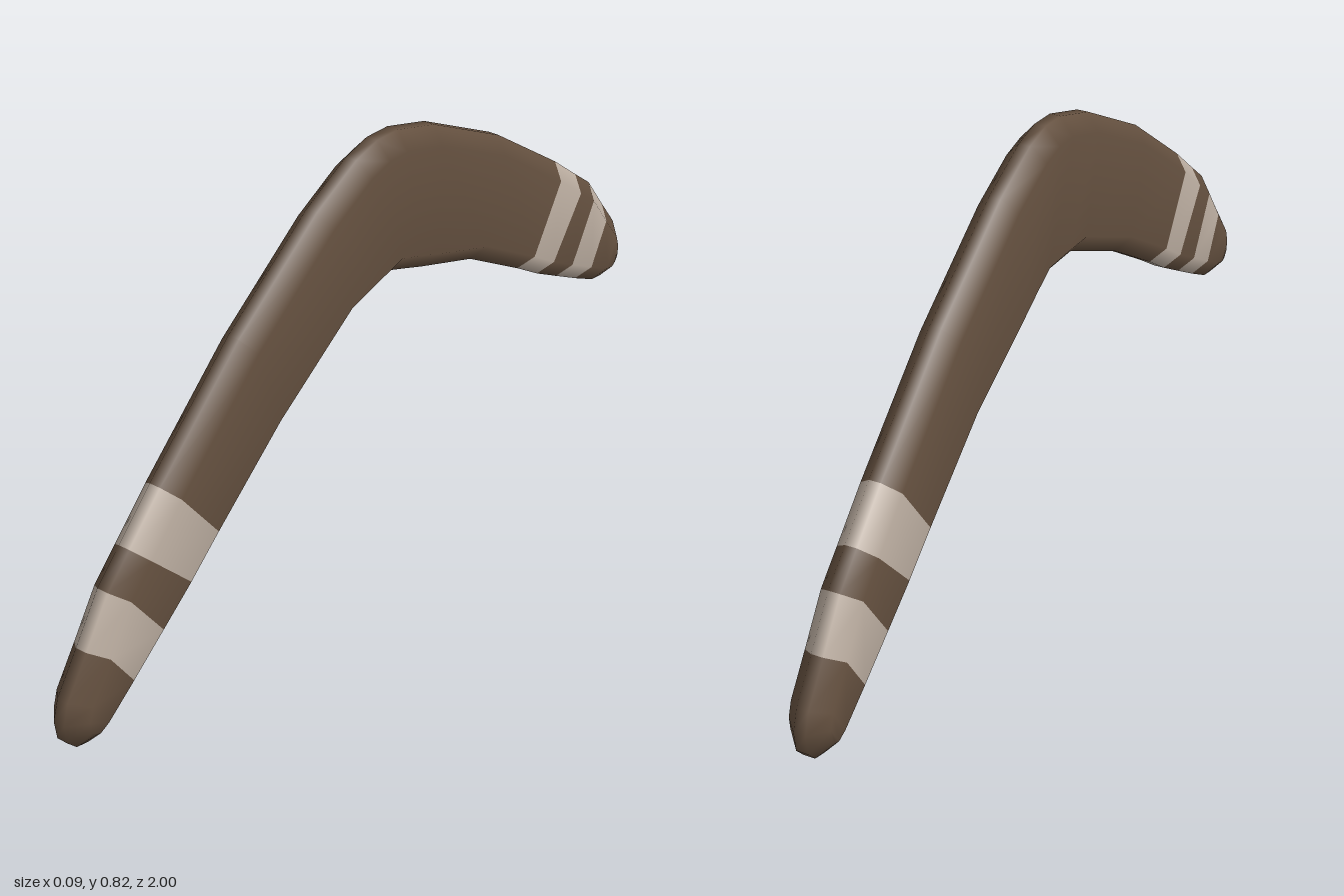
import * as THREE from 'three';

// Stations along one arm, tip to elbow: [upper z, upper y, lower z, lower y]
const ARM = [
  [0.995, 0.04, 0.972, 0.012],
  [1.0, 0.085, 0.94, 0.0],
  [0.985, 0.13, 0.9, 0.01],
  [0.925, 0.208, 0.818, 0.058],
  [0.856, 0.3, 0.726, 0.115],
  [0.79, 0.355, 0.638, 0.17],
  [0.695, 0.435, 0.55, 0.232],
  [0.45, 0.62, 0.35, 0.365],
];
// Slightly uneven elbow
const ELBOW = [
  [0.2, 0.765, 0.12, 0.485],
  [0.07, 0.815, 0.04, 0.495],
  [0.0, 0.825, -0.04, 0.505],
  [-0.07, 0.815, -0.09, 0.482],
  [-0.2, 0.765, -0.16, 0.449],
];
const STRIPES = [3, 5]; // painted segments, counted from each tip
const BEVEL = 0.037;
const HALF = 0.043, EDGE = 0.012;

function boomerangGeometry() {
  const mirrored = ARM.map(([a, b, c, d]) => [-a, b, -c, d]).reverse();
  const stations = [...ARM, ...ELBOW, ...mirrored];
  const n = stations.length, m = 2 * n;

  // Closed outline: along the top, then back along the underside
  const outline = [
    ...stations.map((s) => new THREE.Vector2(s[0], s[1])),
    ...stations.map((s) => new THREE.Vector2(s[2], s[3])).reverse(),
  ];

  // Four rim rows: inset face edge, outer edge, outer edge, inset face edge
  const positions = [];
  outline.forEach((p, j) => {
    const before = p.clone().sub(outline[(j + m - 1) % m]).normalize();
    const after = outline[(j + 1) % m].clone().sub(p).normalize();
    const t = before.add(after).normalize();
    const inner = new THREE.Vector2(p.x - t.y * BEVEL, p.y + t.x * BEVEL);
    [[-HALF, inner], [-EDGE, p], [EDGE, p], [HALF, inner]].forEach(([x, q]) => {
      positions.push(x, q.y, q.x);
    });
  });

  const wood = [], paint = [];
  const quad = (list, a, b, c, d) => list.push(a, b, c, a, c, d);
  const rim = (list, j) => {
    const a = j * 4, d = ((j + 1) % m) * 4;
    for (let k = 0; k < 3; k++) quad(list, a + k, a + k + 1, d + k + 1, d + k);
  };

  for (let i = 0; i < n - 1; i++) {
    const list = STRIPES.includes(Math.min(i, n - 2 - i)) ? paint : wood;
    const u0 = i * 4, u1 = u0 + 4;
    const l0 = (m - 1 - i) * 4, l1 = l0 - 4;
    rim(list, i);
    rim(list, m - 2 - i);
    quad(list, u0 + 3, l0 + 3, l1 + 3, u1 + 3); // left face
    quad(list, u0, u1, l1, l0); // right face
  }
  // Rounded tips
  rim(wood, n - 1);
  rim(wood, m - 1);

  const geometry = new THREE.BufferGeometry();
  geometry.setAttribute('position', new THREE.Float32BufferAttribute(positions, 3));
  geometry.setIndex([...wood, ...paint]);
  geometry.addGroup(0, wood.length, 0);
  geometry.addGroup(wood.length, paint.length, 1);
  geometry.computeVertexNormals();
  return geometry;
}

export function createModel() {
  const brownWood = new THREE.MeshStandardMaterial({ color: 0x64503f });
  brownWood.name = 'brownWood';
  const palePaint = new THREE.MeshStandardMaterial({ color: 0xbcaea1 });
  palePaint.name = 'palePaint';

  const group = new THREE.Group();
  group.name = 'boomerang';
  const blade = new THREE.Mesh(boomerangGeometry(), [brownWood, palePaint]);
  blade.name = 'stripedBlade';
  group.add(blade);
  return group;
}
